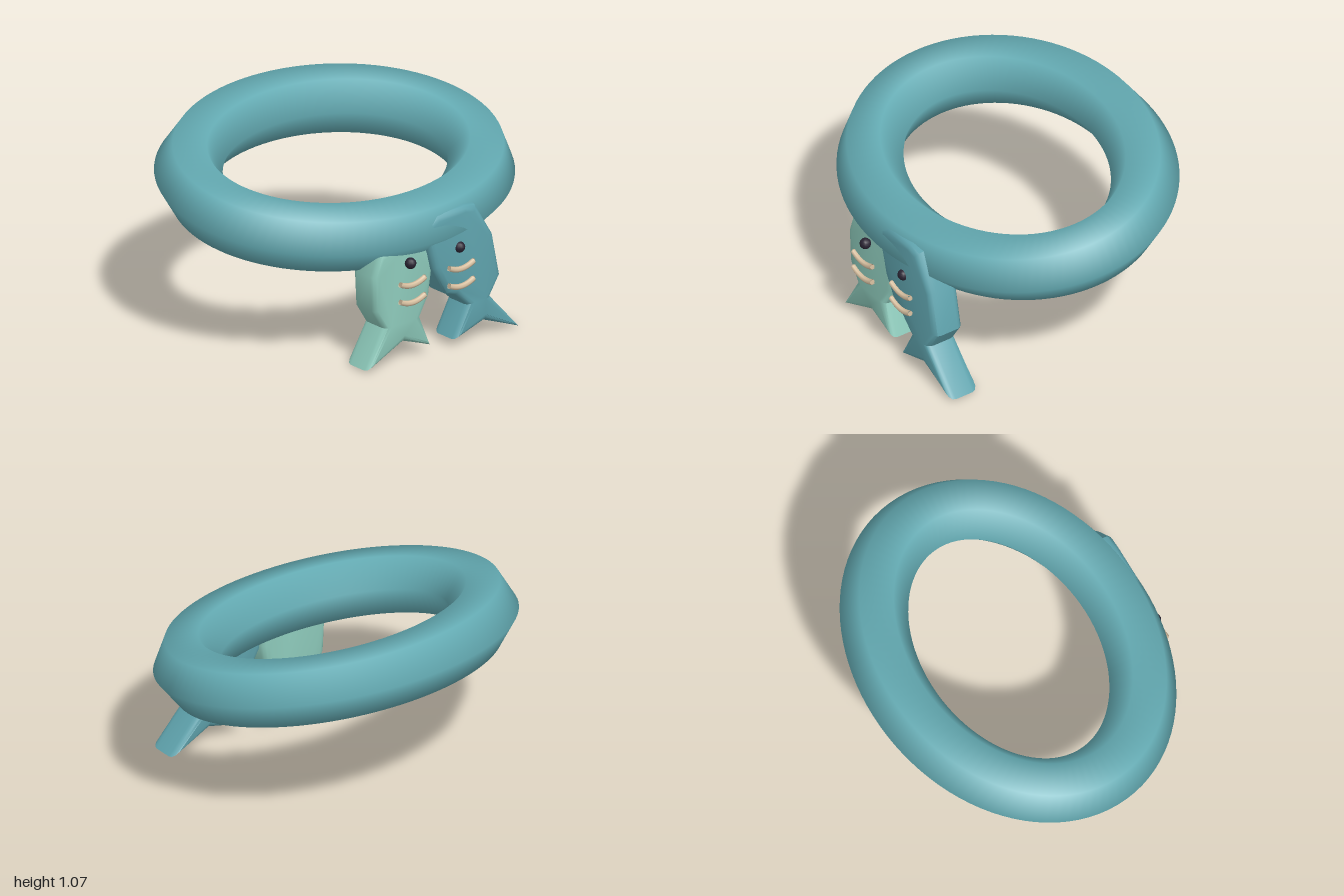
import * as THREE from 'three';
import { mergeVertices, toCreasedNormals } from 'three/addons/utils/BufferGeometryUtils.js';

const paint = (name, color) => {
  const m = new THREE.MeshStandardMaterial({ color });
  m.name = name;
  return m;
};

// Elliptical ring: constant six-sided tube section swept round an ellipse
function ringGeometry(a, b, r, twist) {
  const g = new THREE.TorusGeometry(1, 0.2, 6, 96);
  const p = g.attributes.position, uv = g.attributes.uv;
  for (let i = 0; i < p.count; i++) {
    const u = uv.getX(i) * Math.PI * 2, v = uv.getY(i) * Math.PI * 2 + twist;
    const n = new THREE.Vector2(Math.cos(u) * b, Math.sin(u) * a).normalize();
    const out = r * Math.cos(v);
    p.setXYZ(i, a * Math.cos(u) + n.x * out, b * Math.sin(u) + n.y * out, r * Math.sin(v));
  }
  g.deleteAttribute('uv');
  g.deleteAttribute('normal');
  const smooth = mergeVertices(g);
  smooth.computeVertexNormals();
  return smooth;
}

// Fish body: outline extruded with a rounded rim between two depths
function fishGeometry(outline, back, front) {
  const shape = new THREE.Shape(outline.map(([x, y]) => new THREE.Vector2(x, y)));
  const bevel = 0.035;
  const g = new THREE.ExtrudeGeometry(shape, {
    depth: front - back - 2 * bevel, bevelThickness: bevel,
    bevelSize: bevel, bevelOffset: -bevel, bevelSegments: 3,
  });
  g.translate(0, 0, back + bevel);
  return toCreasedNormals(g, 0.7);
}

export function createModel() {
  const model = new THREE.Group();
  model.name = 'ringWithFish';
  const teal = paint('ringTeal', 0x64abb3);
  const blue = paint('fishTeal', 0x5fa3ad);
  const mint = paint('fishMint', 0x8cc8b9);
  const dark = paint('eyeDark', 0x2a2433);
  const cream = paint('gillCream', 0xdcc4a4);
  cream.side = THREE.DoubleSide;

  const add = (name, geometry, material, parent = model) => {
    const mesh = new THREE.Mesh(geometry, material);
    mesh.name = name;
    parent.add(mesh);
    return mesh;
  };

  // Tilted ring, higher at the back
  const ring = add('ring', ringGeometry(0.825, 0.636, 0.175, -0.075), teal);
  ring.rotation.x = -Math.PI / 2 + 0.185;
  ring.position.y = 0.797;

  // Two fish hanging from the front of the ring
  const fishes = [
    {
      name: 'rightFish', material: mint, x: -0.165, back: 0.56, front: 0.735,
      outline: [[-0.415, 0.01], [-0.17, 0.11], [0.015, 0.04], [-0.055, 0.215], [0.005, 0.32],
        [0.03, 0.48], [0, 0.62], [-0.16, 0.67], [-0.335, 0.63], [-0.375, 0.51], [-0.365, 0.32], [-0.3, 0.215]],
    },
    {
      name: 'leftFish', material: blue, x: 0.165, back: 0.6, front: 0.775,
      outline: [[0.14, 0.045], [0.34, 0.1], [0.58, 0.003], [0.385, 0.225], [0.45, 0.325],
        [0.4, 0.565], [0.285, 0.755], [0.21, 0.77], [0.02, 0.765], [-0.07, 0.71],
        [-0.02, 0.55], [0, 0.47], [0.09, 0.31], [0.145, 0.29], [0.225, 0.215]],
    },
  ];
  for (const f of fishes) {
    const fish = new THREE.Group();
    fish.name = f.name;
    model.add(fish);
    add('body', fishGeometry(f.outline, f.back, f.front), f.material, fish);
    add('eye', new THREE.SphereGeometry(0.03, 10, 8), dark, fish).position.set(f.x, 0.555, 0.772);

    // Two curved gill bars with closed ends
    for (const y of [0.463, 0.367]) {
      const bar = new THREE.Group();
      bar.name = 'gillBar';
      bar.position.set(f.x, y, 0.788);
      fish.add(bar);
      const curve = new THREE.QuadraticBezierCurve3(
        new THREE.Vector3(-0.083, 0, 0), new THREE.Vector3(0, -0.045, 0), new THREE.Vector3(0.083, 0, 0));
      add('bar', new THREE.TubeGeometry(curve, 10, 0.015, 6), cream, bar);
      for (const side of [-1, 1]) {
        const cap = add('barEnd', new THREE.CircleGeometry(0.014, 6), cream, bar);
        cap.position.x = side * 0.083;
        cap.rotation.y = side * Math.PI / 2;
      }
    }
  }
  return model;
}
